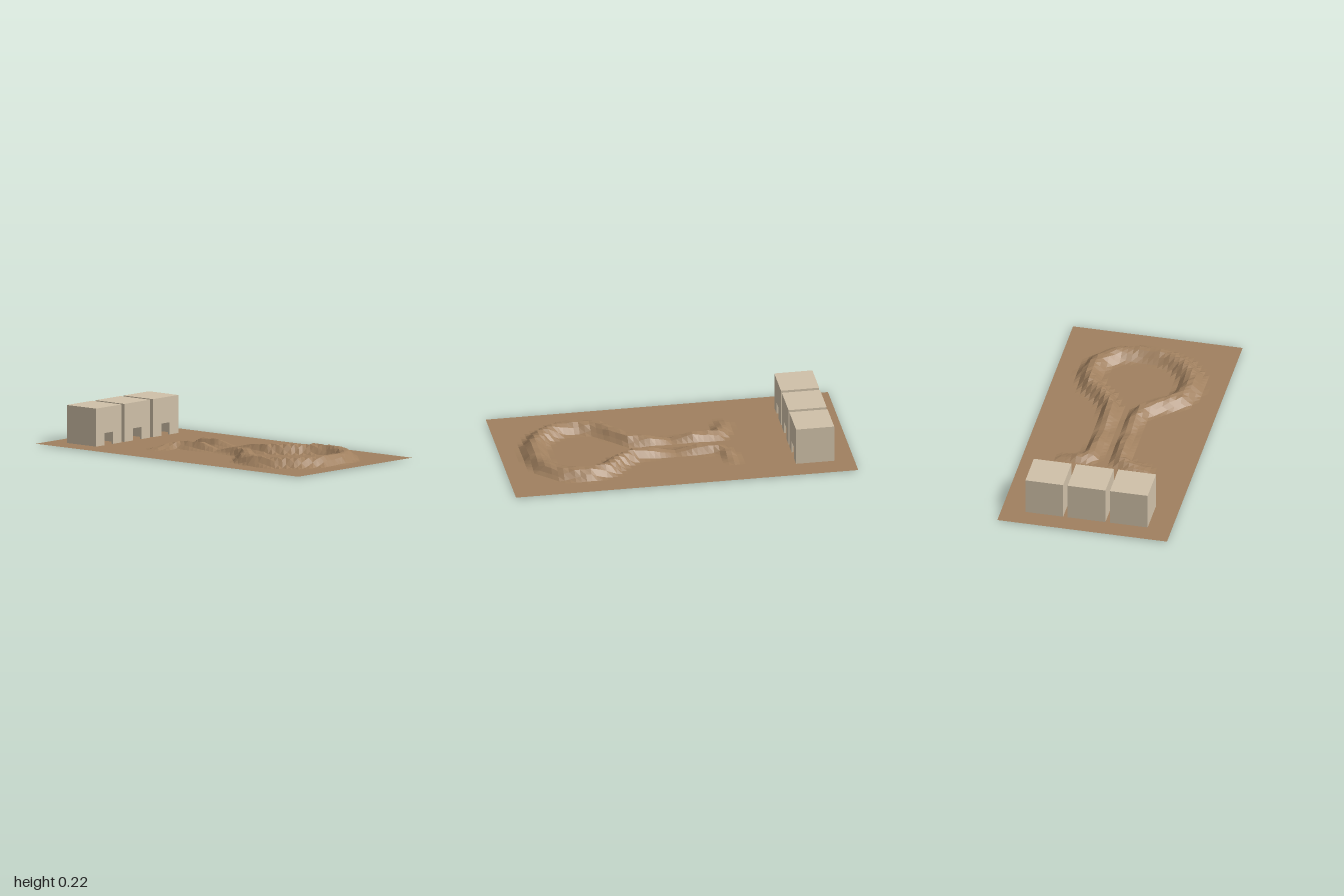
import * as THREE from 'three';

const BASE = 0.004;

// Crest of the earth bank: x, z, height, half width
const CREST = [
  [-0.21, -0.33, 0.012, 0.06], [-0.13, -0.31, 0.03, 0.065], [-0.065, -0.28, 0.038, 0.06],
  [-0.05, -0.13, 0.046, 0.06], [-0.05, 0, 0.013, 0.055], [-0.05, 0.12, 0.04, 0.06],
  [-0.08, 0.24, 0.05, 0.07], [-0.17, 0.32, 0.052, 0.08], [-0.26, 0.39, 0.052, 0.085],
  [-0.3, 0.51, 0.052, 0.085], [-0.28, 0.63, 0.052, 0.085], [-0.2, 0.74, 0.052, 0.085],
  [-0.08, 0.795, 0.052, 0.085], [0.05, 0.805, 0.052, 0.085], [0.18, 0.77, 0.052, 0.085],
  [0.27, 0.68, 0.052, 0.085], [0.305, 0.55, 0.052, 0.08], [0.26, 0.42, 0.052, 0.08],
  [0.17, 0.34, 0.052, 0.075], [0.11, 0.24, 0.05, 0.065], [0.1, 0.12, 0.04, 0.06],
  [0.1, 0, 0.013, 0.055], [0.1, -0.13, 0.046, 0.06], [0.115, -0.27, 0.038, 0.06],
  [0.18, -0.3, 0.03, 0.06], [0.26, -0.31, 0.012, 0.055],
];

// Repeatable small unevenness
function rough(x, z) {
  const s = Math.sin(x * 127.1 + z * 311.7) * 43758.5453;
  return s - Math.floor(s);
}

function bankHeight(x, z) {
  let best = 0;
  for (let i = 0; i < CREST.length - 1; i++) {
    const [ax, az, ah, aw] = CREST[i];
    const [bx, bz, bh, bw] = CREST[i + 1];
    const dx = bx - ax, dz = bz - az;
    const t = THREE.MathUtils.clamp(((x - ax) * dx + (z - az) * dz) / (dx * dx + dz * dz), 0, 1);
    const d = Math.hypot(x - ax - dx * t, z - az - dz * t);
    const w = aw + (bw - aw) * t;
    const rise = 1 - THREE.MathUtils.smoothstep(d, w * 0.15, w);
    best = Math.max(best, (ah + (bh - ah) * t) * rise);
  }
  return best * (0.92 + 0.16 * rough(x, z));
}

function makeGround(material) {
  const grid = new THREE.PlaneGeometry(1, 2, 32, 64).rotateX(-Math.PI / 2);
  const p = grid.attributes.position;
  for (let i = 0; i < p.count; i++) p.setY(i, BASE + bankHeight(p.getX(i), p.getZ(i)));
  const faceted = grid.toNonIndexed();
  faceted.computeVertexNormals();
  const ground = new THREE.Mesh(faceted, material);
  ground.name = 'ground';
  return ground;
}

function makeHouse(material) {
  const S = 0.223, H = 0.225, T = 0.012, h = S / 2, door = 0.036, doorTop = 0.075;
  const house = new THREE.Group();
  const add = (name, geometry, x, y, z) => {
    const mesh = new THREE.Mesh(geometry, material);
    mesh.name = name;
    mesh.position.set(x, y, z);
    house.add(mesh);
  };

  // Front wall with a doorway open to the floor
  const front = new THREE.Shape([
    [-h, 0], [-door, 0], [-door, doorTop], [door, doorTop],
    [door, 0], [h, 0], [h, H], [-h, H],
  ].map(([x, y]) => new THREE.Vector2(x, y)));
  add('frontWall', new THREE.ExtrudeGeometry(front, { depth: T, bevelEnabled: false }), 0, 0, h - T);

  // Back, side walls and flat roof, butted together
  add('backWall', new THREE.BoxGeometry(S, H, T), 0, H / 2, -h + T / 2);
  for (const side of [-1, 1]) {
    add(side < 0 ? 'rightWall' : 'leftWall',
      new THREE.BoxGeometry(T, H, S - 2 * T), side * (h - T / 2), H / 2, 0);
  }
  add('roof', new THREE.BoxGeometry(S - 2 * T, T, S - 2 * T), 0, H - T / 2, 0);
  return house;
}

export function createModel() {
  const earth = new THREE.MeshStandardMaterial({ color: 0xa0805f, side: THREE.DoubleSide });
  earth.name = 'earth';
  const plaster = new THREE.MeshStandardMaterial({ color: 0xcfc0a8 });
  plaster.name = 'plaster';

  const model = new THREE.Group();
  model.name = 'settlement';
  model.add(makeGround(earth));

  // Row of three houses along the back
  for (let i = -1; i <= 1; i++) {
    const house = makeHouse(plaster);
    house.name = `house${i + 2}`;
    house.position.set(i * 0.249, 0, -0.773);
    model.add(house);
  }
  return model;
}
